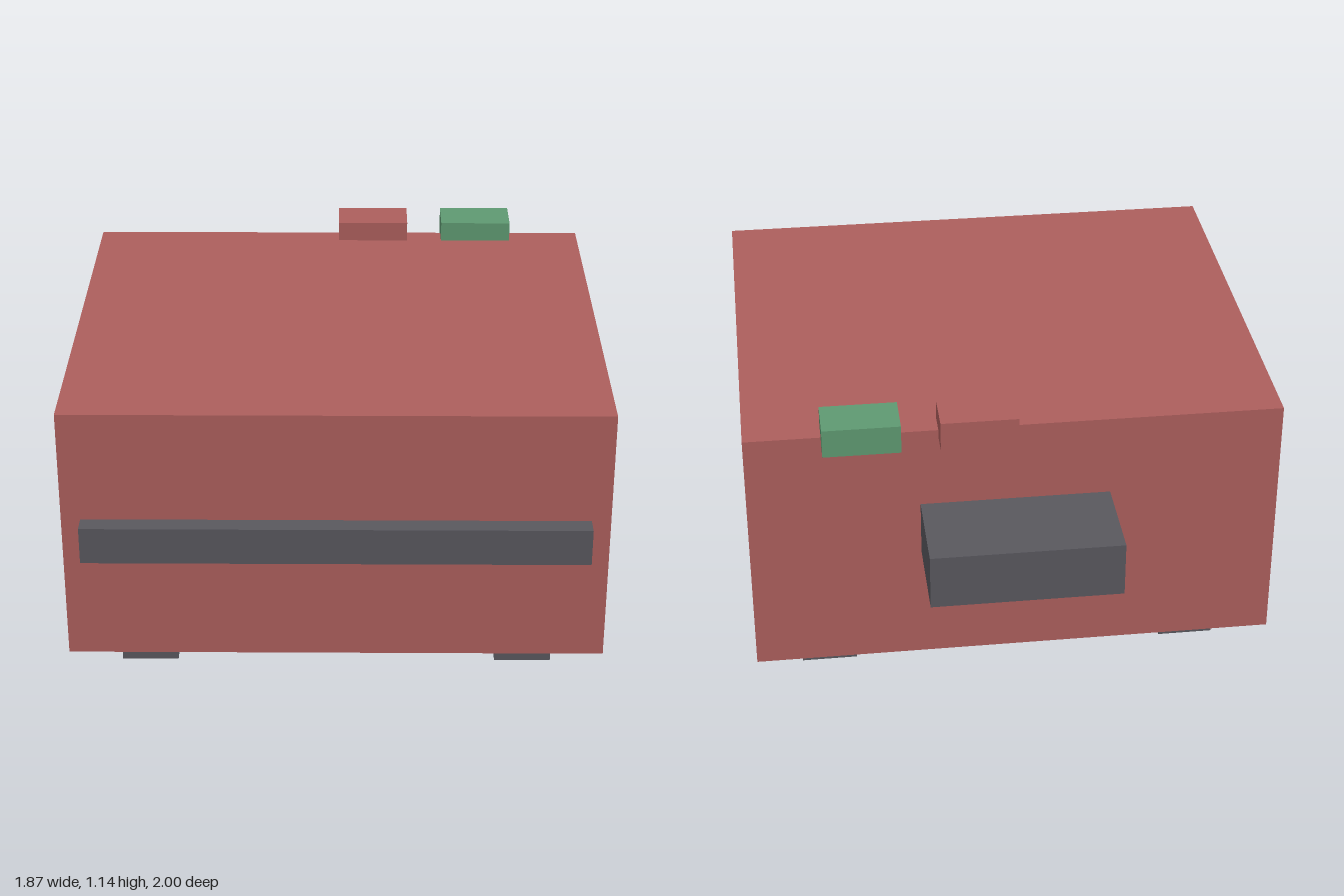
import * as THREE from 'three';

export function createModel() {
  const group = new THREE.Group();
  const material = (name, color) => {
    const m = new THREE.MeshStandardMaterial({ color });
    m.name = name;
    return m;
  };
  const red = material('brick red', 0xad5f5d);
  const grey = material('dark grey', 0x59585e);
  const green = material('soft green', 0x5f9a72);

  // Adds a box spanning the given [min, max] range on each axis
  const addBox = (name, mat, x, y, z) => {
    const mesh = new THREE.Mesh(
      new THREE.BoxGeometry(x[1] - x[0], y[1] - y[0], z[1] - z[0]), mat);
    mesh.position.set((x[0] + x[1]) / 2, (y[0] + y[1]) / 2, (z[0] + z[1]) / 2);
    mesh.name = name;
    group.add(mesh);
  };

  // Main housing
  addBox('body', red, [-0.933, 0.933], [0.137, 1.067], [-0.667, 0.933]);

  // Bar across the front and block on the back
  addBox('frontBar', grey, [-0.867, 0.867], [0.537, 0.67], [0.933, 1]);
  addBox('rearBlock', grey, [-0.333, 0.333], [0.57, 0.77], [-1, -0.667]);

  // Two buttons overhanging the rear top edge
  addBox('redButton', red, [0, 0.267], [1.037, 1.14], [-0.747, -0.587]);
  addBox('greenButton', green, [0.4, 0.667], [1.037, 1.14], [-0.747, -0.587]);

  // Four feet
  for (const x of [-0.667, 0.667]) {
    for (const z of [-0.4, 0.667]) {
      addBox('foot', grey, [x - 0.1, x + 0.1], [0, 0.137], [z - 0.1, z + 0.1]);
    }
  }
  return group;
}
